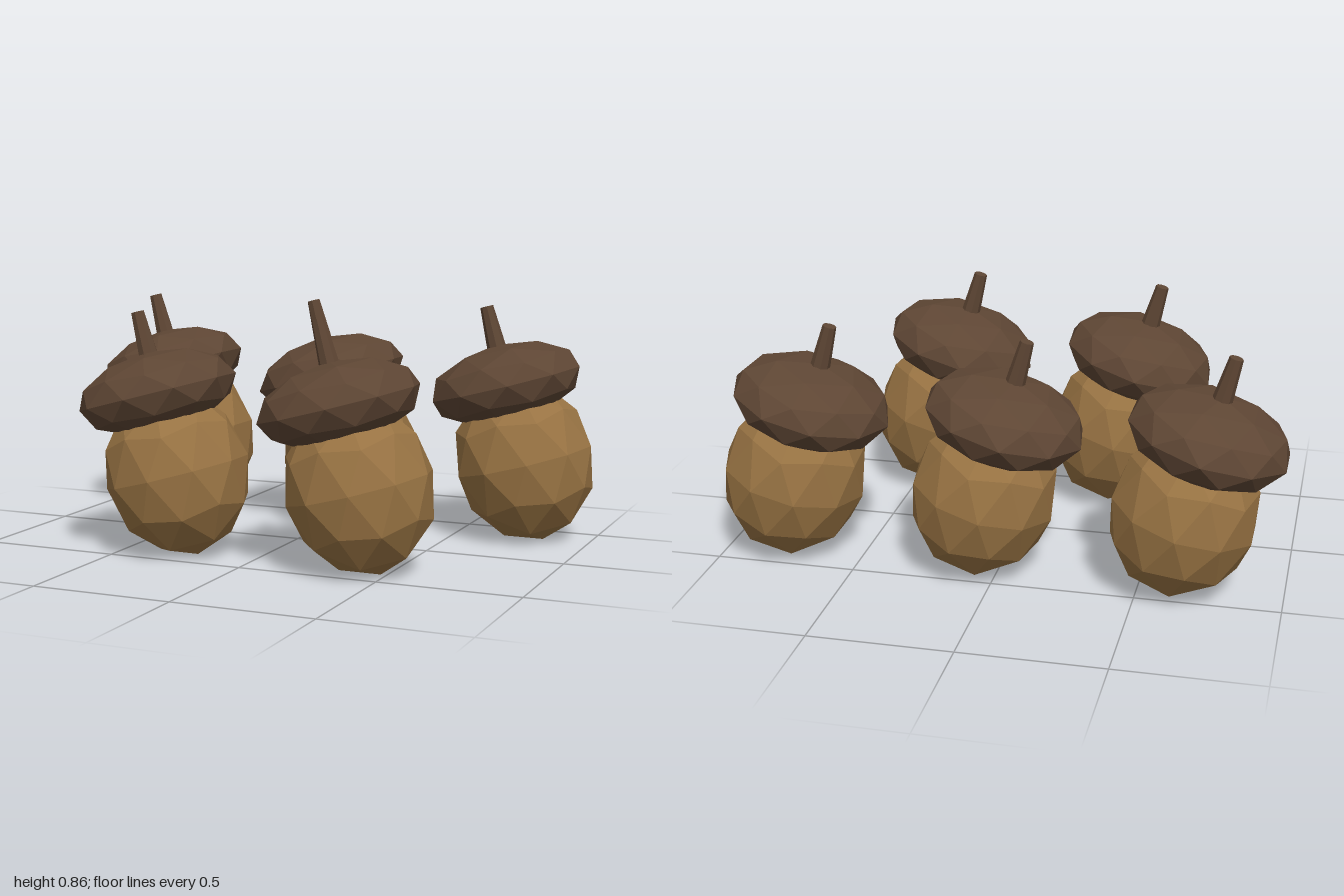
import * as THREE from 'three';

// Faceted ball with a vertex at each pole, stretched to an ellipsoid
function facetedBall(radius, halfHeight) {
  const geo = new THREE.IcosahedronGeometry(1, 1);
  geo.rotateZ(-Math.atan(2 / (1 + Math.sqrt(5))));
  geo.scale(radius, halfHeight, radius);
  geo.computeVertexNormals();
  return geo;
}

export function createModel() {
  const group = new THREE.Group();
  group.name = 'acorns';

  const nutMat = new THREE.MeshStandardMaterial({ color: 0x987343, flatShading: true });
  nutMat.name = 'nut tan';
  const capMat = new THREE.MeshStandardMaterial({ color: 0x5e4634, flatShading: true });
  capMat.name = 'cap brown';

  const nutGeo = facetedBall(0.257, 0.3);
  const capGeo = facetedBall(0.285, 0.145);
  const stemGeo = new THREE.CylinderGeometry(0.024, 0.038, 0.2, 8);

  // Nut, cap and stem stacked on one axis, origin at the nut's centre
  function makeAcorn() {
    const acorn = new THREE.Group();
    acorn.name = 'acorn';
    const add = (name, geo, mat, y) => {
      const mesh = new THREE.Mesh(geo, mat);
      mesh.name = name;
      mesh.position.y = y;
      acorn.add(mesh);
    };
    add('nut', nutGeo, nutMat, 0);
    add('cap', capGeo, capMat, 0.29);
    add('stem', stemGeo, capMat, 0.48);
    return acorn;
  }

  // Two staggered rows, every acorn leaning toward -x
  const rowZ = [-0.4, 0.372, -0.38, 0.397, -0.357];
  rowZ.forEach((z, i) => {
    const acorn = makeAcorn();
    acorn.position.set(-0.65 + 0.35 * i, 0.292, z);
    acorn.rotation.set(0, 0.08 * i, 0.265, 'ZYX');
    group.add(acorn);
  });

  return group;
}
